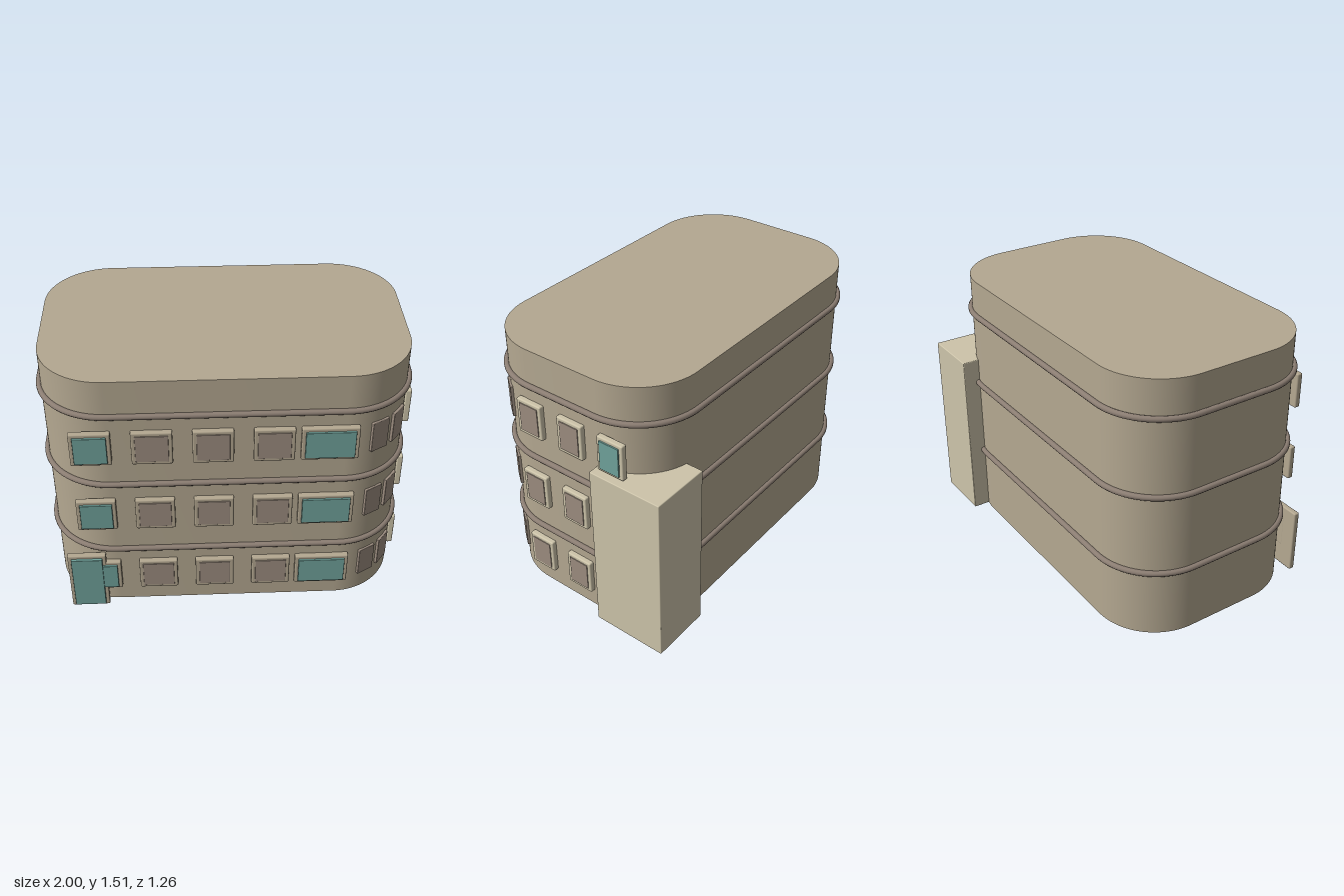
import * as THREE from 'three';
import { toCreasedNormals } from 'three/addons/utils/BufferGeometryUtils.js';
import { RoundedBoxGeometry } from 'three/addons/geometries/RoundedBoxGeometry.js';

const mat = (color) => new THREE.MeshStandardMaterial({ color });
const wall = mat(0xb4a891), trim = mat(0x8c7e73), pane = mat(0x9c8d80);
const teal = mat(0x70a29b), cream = mat(0xcdc4aa);

// Body footprint: centre, half sizes and corner radius
const CX = -0.0225, CZ = 0.0225, HX = 0.9525, HZ = 0.5625, R = 0.35;

function footprint(grow) {
  const a = HX + grow, b = HZ + grow, r = R + grow, s = new THREE.Shape();
  s.moveTo(-a + r, -b);
  s.lineTo(a - r, -b);
  s.absarc(a - r, -b + r, r, -Math.PI / 2, 0);
  s.lineTo(a, b - r);
  s.absarc(a - r, b - r, r, 0, Math.PI / 2);
  s.lineTo(-a + r, b);
  s.absarc(-a + r, b - r, r, Math.PI / 2, Math.PI);
  s.lineTo(-a, -b + r);
  s.absarc(-a + r, -b + r, r, Math.PI, Math.PI * 1.5);
  return s;
}

function roundedBox(name, w, h, d, radius, material) {
  const m = new THREE.Mesh(new RoundedBoxGeometry(w, h, d, 2, radius), material);
  m.name = name;
  return m;
}

// Framed opening facing +z, its back on z = 0
function framed(name, w, h, frameMat, glassMat, proud) {
  const g = new THREE.Group();
  g.name = name;
  const frame = roundedBox(name + 'Frame', w, h, 0.034, 0.008, frameMat);
  frame.position.z = 0.011;
  const glass = roundedBox(name + 'Glass', w - 0.04, h - 0.038, 0.03, 0.003, glassMat);
  glass.position.z = 0.028 + proud - 0.015;
  g.add(frame, glass);
  return g;
}

export function createModel() {
  const model = new THREE.Group();

  // Main block with rounded corners
  const bodyGeo = new THREE.ExtrudeGeometry(footprint(0), { depth: 1.495, bevelEnabled: false, curveSegments: 24 });
  bodyGeo.rotateX(-Math.PI / 2);
  const body = new THREE.Mesh(toCreasedNormals(bodyGeo, 0.6), wall);
  body.name = 'body';
  body.position.set(CX, 0.02, CZ);
  model.add(body);

  // Round mouldings between floors
  const pts = footprint(0.008).getSpacedPoints(140).slice(0, -1).map((p) => new THREE.Vector3(p.x, 0, -p.y));
  const bandGeo = new THREE.TubeGeometry(new THREE.CatmullRomCurve3(pts, true), 200, 0.016, 10, true);
  for (const y of [0.413, 0.873, 1.31]) {
    const band = new THREE.Mesh(bandGeo, trim);
    band.name = 'floorBand';
    band.position.set(CX, y, CZ);
    model.add(band);
  }

  // Windows, floor by floor
  for (const y of [0.228, 0.675, 1.12]) {
    const front = [[-0.715, 0.21, teal], [-0.405, 0.21, pane], [-0.095, 0.21, pane], [0.215, 0.21, pane], [0.4975, 0.295, teal]];
    for (const [x, w, glass] of front) {
      const win = framed('frontWindow', w, 0.2, wall, glass, glass === teal ? 0.012 : 0.004);
      win.position.set(x, y, 0.585);
      model.add(win);
    }
    // Plain panes on the rounded front corner
    for (const deg of [30, 52.5]) {
      const a = THREE.MathUtils.degToRad(deg), r = R + 0.001;
      const p = roundedBox('cornerPane', 0.105, 0.182, 0.022, 0.004, pane);
      p.position.set(CX + HX - R + r * Math.sin(a), y, CZ + HZ - R + r * Math.cos(a));
      p.rotation.y = a;
      model.add(p);
    }
    // Side windows, the rear one only above the annex
    const side = y > 1 ? [0.23, -0.04, -0.3] : [0.23, -0.04];
    for (const z of side) {
      const rear = z < -0.2;
      const win = framed('sideWindow', 0.162, 0.205, cream, rear ? teal : pane, rear ? 0.008 : 0.004);
      win.position.set(0.93, y, z);
      win.rotation.y = Math.PI / 2;
      model.add(win);
    }
  }

  // Entrance door
  const door = framed('door', 0.21, 0.382, wall, teal, 0.016);
  door.position.set(-0.795, 0.191, 0.586);
  model.add(door);

  // Annex on the rear corner
  const annex = roundedBox('annex', 0.345, 0.995, 0.432, 0.005, cream);
  annex.position.set(0.8245, 0.5175, -0.412);
  model.add(annex);

  return model;
}
